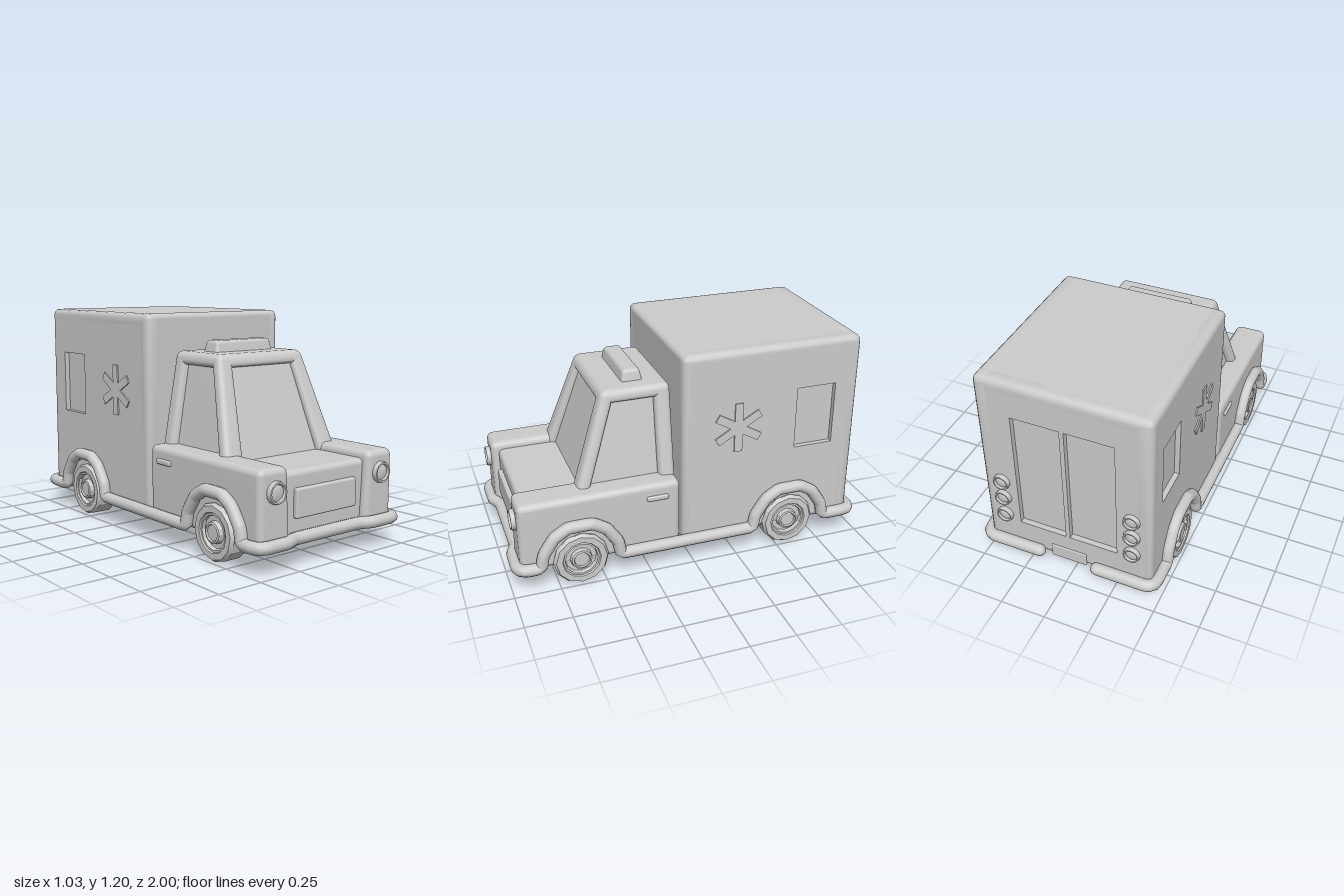
import * as THREE from 'three';
import { mergeGeometries, mergeVertices, toCreasedNormals } from 'three/addons/utils/BufferGeometryUtils.js';
import { RoundedBoxGeometry } from 'three/addons/geometries/RoundedBoxGeometry.js';

const material = new THREE.MeshStandardMaterial({ color: 0xcccccc });

// Rounded box given by its minimum and maximum corners
function block(x0, x1, y0, y1, z0, z1, r) {
  return new RoundedBoxGeometry(x1 - x0, y1 - y0, z1 - z0, 3, r)
    .translate((x0 + x1) / 2, (y0 + y1) / 2, (z0 + z1) / 2);
}

// Move every vertex by a rule and smooth the result
function deform(geometry, rule) {
  const p = geometry.attributes.position;
  const v = new THREE.Vector3();
  for (let i = 0; i < p.count; i++) {
    rule(v.fromBufferAttribute(p, i));
    p.setXYZ(i, v.x, v.y, v.z);
  }
  geometry.deleteAttribute('normal');
  geometry.deleteAttribute('uv');
  const smooth = mergeVertices(geometry, 1e-4);
  smooth.computeVertexNormals();
  return smooth;
}

function rectangle(target, x0, x1, y0, y1) {
  target.moveTo(x0, y0);
  target.lineTo(x1, y0);
  target.lineTo(x1, y1);
  target.lineTo(x0, y1);
  target.closePath();
  return target;
}

// Wall 0.1 thick with its outer face at z = 0: a rounded border and a flat panel with sharp recesses
function wall(x0, x1, y0, y1, holes) {
  const b = 0.03, r = 0.006;
  const l = x0 + b, t = x1 - b, d = y0 + b, u = y1 - b;
  const border = new THREE.Shape();
  border.moveTo(l + r, d);
  border.lineTo(t - r, d);
  border.quadraticCurveTo(t, d, t, d + r);
  border.lineTo(t, u - r);
  border.quadraticCurveTo(t, u, t - r, u);
  border.lineTo(l + r, u);
  border.quadraticCurveTo(l, u, l, u - r);
  border.lineTo(l, d + r);
  border.quadraticCurveTo(l, d, l + r, d);
  border.holes.push(rectangle(new THREE.Path(), x0 + 0.06, x1 - 0.06, y0 + 0.06, y1 - 0.06));
  const edge = new THREE.ExtrudeGeometry(border, {
    depth: 0.04, bevelSize: b, bevelThickness: b, bevelSegments: 3, curveSegments: 3,
  }).translate(0, 0, -0.07);

  const inner = rectangle(new THREE.Shape(), x0 + 0.036, x1 - 0.036, y0 + 0.036, y1 - 0.036);
  holes.forEach(h => inner.holes.push(rectangle(new THREE.Path(), ...h)));
  const panel = new THREE.ExtrudeGeometry(inner, { depth: 0.06, bevelEnabled: false })
    .translate(0, 0, -0.06);
  return mergeGeometries([toCreasedNormals(edge, 0.7), panel]);
}

// Turned part, its axis along +z
function turned(points, sides) {
  const g = new THREE.LatheGeometry(points.map(p => new THREE.Vector2(...p)), sides);
  return toCreasedNormals(g.rotateX(Math.PI / 2), 0.5);
}

export function createModel() {
  const model = new THREE.Group();
  const add = (name, geometry, scaleX = 1) => {
    const mesh = new THREE.Mesh(geometry, material);
    mesh.name = name;
    mesh.scale.x = scaleX;
    model.add(mesh);
  };
  const mirrored = (name, geometry) => {
    add(name + 'Left', geometry);
    add(name + 'Right', geometry, -1);
  };

  // Cargo box: core, side walls with a window, rear wall with two door panels
  add('cargoCore', block(-0.437, 0.437, 0.12, 1.2, -0.917, 0.06, 0.03));
  mirrored('cargoSide', wall(-0.06, 0.947, 0.12, 1.2, [[0.585, 0.81, 0.595, 0.945]])
    .rotateY(Math.PI / 2).translate(0.465, 0, 0));
  add('cargoRear', wall(-0.465, 0.465, 0.12, 1.2,
    [[-0.275, -0.012, 0.29, 1.0], [0.012, 0.275, 0.29, 1.0]])
    .rotateY(Math.PI).translate(0, 0, -0.947));

  // Six-armed star on each side
  for (let i = 0; i < 6; i++) {
    mirrored('starArm' + i, new THREE.BoxGeometry(0.016, 0.14, 0.046)
      .translate(0, 0.07, 0).rotateX(i * Math.PI / 3).translate(0.464, 0.77, -0.25));
  }

  // Lower cab: raised wings beside a lower bonnet
  mirrored('wing', deform(block(0.28, 0.465, 0.12, 0.51, 0.07, 0.95, 0.035), v => {
    if (v.x < 0.33) v.x -= 0.02 * (0.51 - v.y) / 0.39;
  }));
  add('bonnet', block(-0.33, 0.33, 0.12, 0.47, 0.07, 0.91, 0.03));
  mirrored('doorHandle', block(0.455, 0.476, 0.415, 0.445, 0.14, 0.26, 0.01));

  // Cabin: widens downwards and its front leans back
  const down = v => (1 - v.y) / 0.55;
  const flare = v => { v.x *= 1 + 0.36 * down(v); };
  const lean = v => {
    flare(v);
    v.z = 0.07 + (v.z - 0.07) * (1 + 0.51 * down(v));
  };
  const shift = v => {
    flare(v);
    v.z += 0.19 * down(v);
  };
  add('cabinRoof', deform(block(-0.29, 0.29, 0.93, 1, 0.07, 0.44, 0.03), lean));
  add('cabinGlass', deform(block(-0.258, 0.258, 0.42, 0.98, 0.09, 0.412, 0.01), lean));
  mirrored('frontPillar', deform(block(0.2, 0.29, 0.42, 1, 0.365, 0.44, 0.03), shift));
  mirrored('rearPillar', deform(block(0.2, 0.29, 0.42, 1, 0.07, 0.16, 0.03), flare));

  // Roof light, narrower at the top
  add('roofLight', deform(block(-0.2, 0.2, 0.97, 1.06, 0.19, 0.31, 0.018), v => {
    const k = 1 - Math.max(0, v.y - 1) / 0.06;
    v.x *= 0.92 + 0.08 * k;
    v.z = 0.25 + (v.z - 0.25) * (0.75 + 0.25 * k);
  }));

  // Plates
  add('frontPlate', block(-0.21, 0.21, 0.235, 0.385, 0.89, 0.935, 0.01));
  add('rearPlate', block(-0.1, 0.1, 0.12, 0.2, -0.953, -0.92, 0.006));

  // Headlights and rear lights: dished discs with a rounded rim
  const lamp = r => turned([[r, -0.02], [r, 0.012], [r * 0.93, 0.024],
    [r * 0.78, 0.024], [r * 0.7, 0.012], [r * 0.4, 0.017], [0, 0.019]], 16);
  mirrored('headlight', lamp(0.057).translate(0.367, 0.395, 0.95));
  [0.555, 0.445, 0.325].forEach((y, i) => {
    mirrored('rearLight' + i, lamp(0.045).rotateY(Math.PI).translate(0.36, y, -0.947));
  });

  // Wheels: tyre hollow on the inside, sunken rim and hub
  const axles = [0.63, -0.565];
  const wheelProfile = [[0, -0.05], [0.09, -0.05], [0.095, -0.125], [0.145, -0.125],
    [0.15, -0.115], [0.15, -0.018], [0.138, 0], [0.105, 0], [0.1, -0.008], [0.09, -0.008],
    [0.085, -0.03], [0.06, -0.03], [0.055, 0], [0.045, 0.004], [0.04, -0.004], [0, -0.004]];
  axles.forEach((z, i) => {
    mirrored(i ? 'rearWheel' : 'frontWheel', turned(wheelProfile, 12)
      .rotateX(0).rotateY(Math.PI / 2).translate(0.49, 0.15, z));
  });

  // One continuous trim: rear bumper, wheel arches, sills and front bumper
  const half = [[0.165, 0.142, -0.967], [0.3, 0.142, -0.967], [0.44, 0.142, -0.967],
    [0.475, 0.142, -0.95], [0.484, 0.142, -0.9]];
  const arch = [[-0.245, 0.142], [-0.215, 0.15], [-0.2, 0.22], [-0.14, 0.31], [-0.065, 0.355],
    [0.065, 0.355], [0.14, 0.31], [0.2, 0.22], [0.215, 0.15], [0.245, 0.142]];
  for (const z of [...axles].reverse()) {
    arch.forEach(([dz, y]) => half.push([0.484, y, z + dz]));
  }
  half.push([0.484, 0.142, 0.91], [0.472, 0.142, 0.95], [0.43, 0.142, 0.966],
    [0.3, 0.142, 0.964], [0.22, 0.142, 0.935]);
  const path = [...half, ...half.map(([x, y, z]) => [-x, y, z]).reverse()]
    .map(p => new THREE.Vector3(...p));
  const curve = new THREE.CatmullRomCurve3(path, false, 'catmullrom', 0.12);
  add('trim', new THREE.TubeGeometry(curve, 320, 0.033, 12));
  mirrored('bumperEnd', new THREE.SphereGeometry(0.033, 12, 8).translate(0.165, 0.142, -0.967));

  return model;
}
